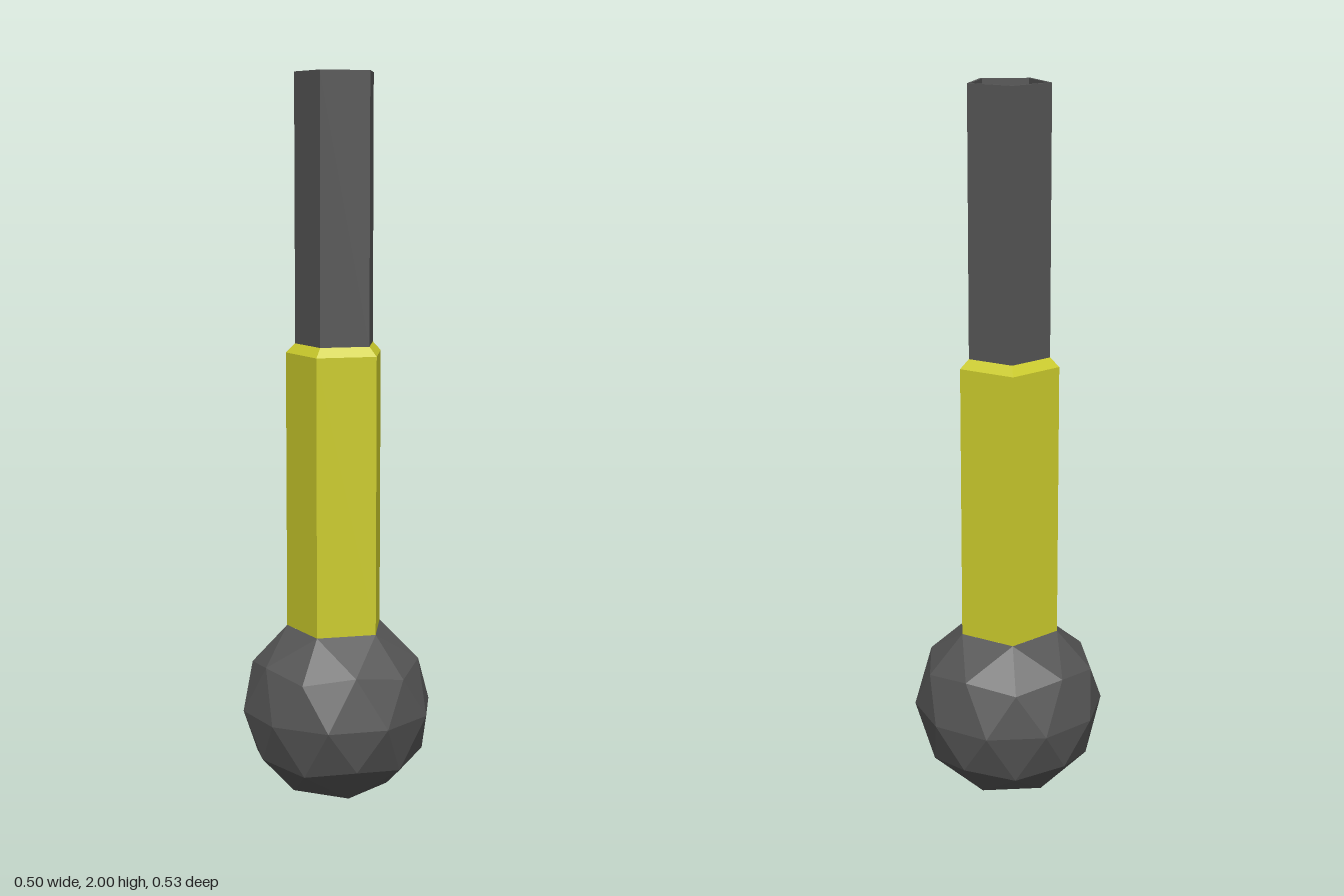
import * as THREE from 'three';

const R = 0.265, CENTRE_Y = 0.268;      // ball
const CAP_R = R * 0.5257;               // pentagon where the grip leaves the ball
const CAP_Y = CENTRE_Y + R * 0.8507;

const grey = new THREE.MeshStandardMaterial({ color: 0x555555, flatShading: true });
const yellow = new THREE.MeshStandardMaterial({ color: 0xcccc2c, flatShading: true });

// Five-sided part from a [radius, height] profile, one corner towards +x
function pentagonPart(name, profile, material) {
  const points = profile.map(([r, y]) => new THREE.Vector2(r, y));
  const mesh = new THREE.Mesh(new THREE.LatheGeometry(points, 5, Math.PI / 2), material);
  mesh.name = name;
  return mesh;
}

// Faceted ball standing on a corner, without the five facets under the grip
function ballGeometry() {
  const full = new THREE.IcosahedronGeometry(R, 1);
  full.rotateZ(-Math.atan(2 / (1 + Math.sqrt(5))));
  const p = full.attributes.position;
  const kept = [];
  for (let i = 0; i < p.count; i += 3) {
    if (Math.min(p.getY(i), p.getY(i + 1), p.getY(i + 2)) > R * 0.8) continue;
    for (let k = i; k < i + 3; k++) kept.push(p.getX(k), p.getY(k) + CENTRE_Y, p.getZ(k));
  }
  const geometry = new THREE.BufferGeometry();
  geometry.setAttribute('position', new THREE.Float32BufferAttribute(kept, 3));
  geometry.computeVertexNormals();
  return geometry;
}

export function createModel() {
  const group = new THREE.Group();

  const ball = new THREE.Mesh(ballGeometry(), grey);
  ball.name = 'ball';
  group.add(ball);

  // Grip with a bevelled top edge
  group.add(pentagonPart('grip', [[CAP_R, CAP_Y], [CAP_R, 1.255], [0.114, 1.28]], yellow));

  // Hollow shaft: outer wall, rim, inner wall, floor
  group.add(pentagonPart('shaft',
    [[0.114, 1.28], [0.114, 2], [0.104, 2], [0.104, 1.28], [0, 1.28]], grey));

  return group;
}
